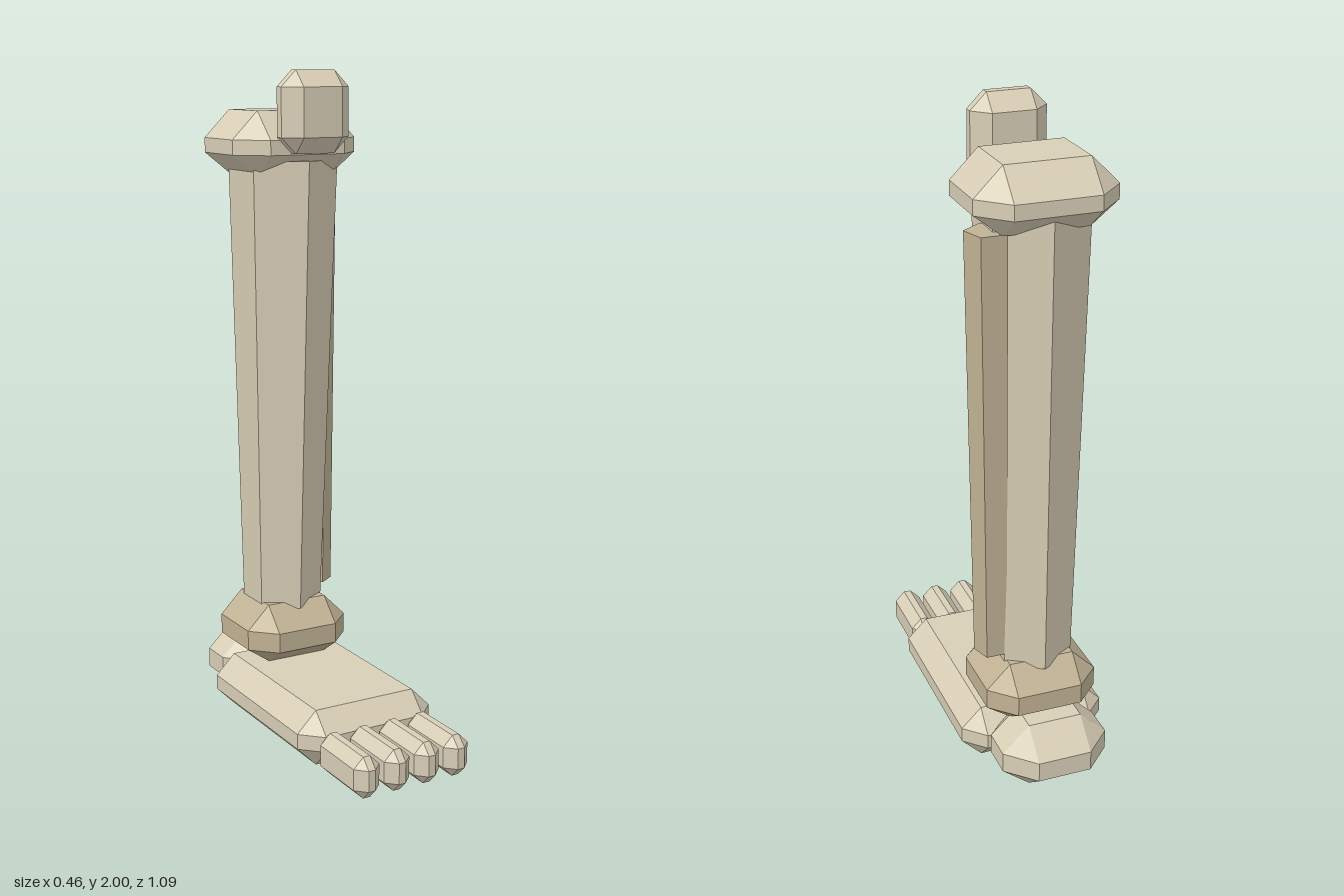
import * as THREE from 'three';
import { ConvexGeometry } from 'three/addons/geometries/ConvexGeometry.js';

const bone = new THREE.MeshStandardMaterial({ name: 'pale bone', color: 0xd8ceb6 });
const darkBone = new THREE.MeshStandardMaterial({ name: 'tan bone', color: 0xc1b294 });

// Box with every edge cut: c is the horizontal cut, top and bottom the vertical ones
function chamferedBox([x0, x1], [y0, y1], [z0, z1], c, top = c, bottom = c) {
  const points = [];
  for (const [x, sx] of [[x0, 1], [x1, -1]]) {
    for (const [y, dy] of [[y0, bottom], [y1, -top]]) {
      for (const [z, sz] of [[z0, 1], [z1, -1]]) {
        points.push(
          new THREE.Vector3(x, y + dy, z + sz * c),
          new THREE.Vector3(x + sx * c, y, z + sz * c),
          new THREE.Vector3(x + sx * c, y + dy, z),
        );
      }
    }
  }
  return new ConvexGeometry(points);
}

// Tapered prism whose ends stay level while its axis leans from a to b
function leaningPrism(a, b, rBottom, rTop, sides) {
  const h = b[1] - a[1];
  const geo = new THREE.CylinderGeometry(rTop, rBottom, h, sides).toNonIndexed();
  const pos = geo.attributes.position;
  for (let i = 0; i < pos.count; i++) {
    const t = pos.getY(i) / h + 0.5;
    pos.setXYZ(
      i,
      pos.getX(i) + a[0] + (b[0] - a[0]) * t,
      a[1] + h * t,
      pos.getZ(i) + a[2] + (b[2] - a[2]) * t,
    );
  }
  geo.computeVertexNormals();
  return geo;
}

export function createModel() {
  const model = new THREE.Group();
  model.name = 'lowerLegBones';
  const add = (name, geometry, material = bone) => {
    const mesh = new THREE.Mesh(geometry, material);
    mesh.name = name;
    model.add(mesh);
  };

  // Knee end and kneecap
  add('kneeJoint', chamferedBox([-0.207, 0.207], [1.69, 1.882], [-0.435, -0.083], 0.083, 0.083, 0.065));
  add('kneecap', chamferedBox([-0.112, 0.112], [1.76, 2], [-0.115, 0.008], 0.048));

  // Long bones
  add('shinBone', leaningPrism([0, 0.335, -0.26], [0, 1.735, -0.24], 0.122, 0.165, 6));
  add('calfBone', leaningPrism([0.13, 0.375, -0.278], [0.149, 1.695, -0.304], 0.053, 0.0645, 5), darkBone);

  // Ankle, heel and foot
  add('ankle', chamferedBox([-0.173, 0.173], [0.17, 0.355], [-0.424, -0.09], 0.073, 0.073, 0.05), darkBone);
  add('heel', chamferedBox([-0.165, 0.165], [0, 0.207], [-0.546, -0.28], 0.083, 0.08, 0.065));
  add('foot', chamferedBox([-0.228, 0.228], [0, 0.17], [-0.34, 0.317], 0.062));

  // Toes
  for (let i = 0; i < 4; i++) {
    const x = -0.15 + i * 0.1;
    add(`toe${i + 1}`, chamferedBox([x - 0.042, x + 0.042], [0, 0.125], [0.297, 0.546], 0.031));
  }
  return model;
}
